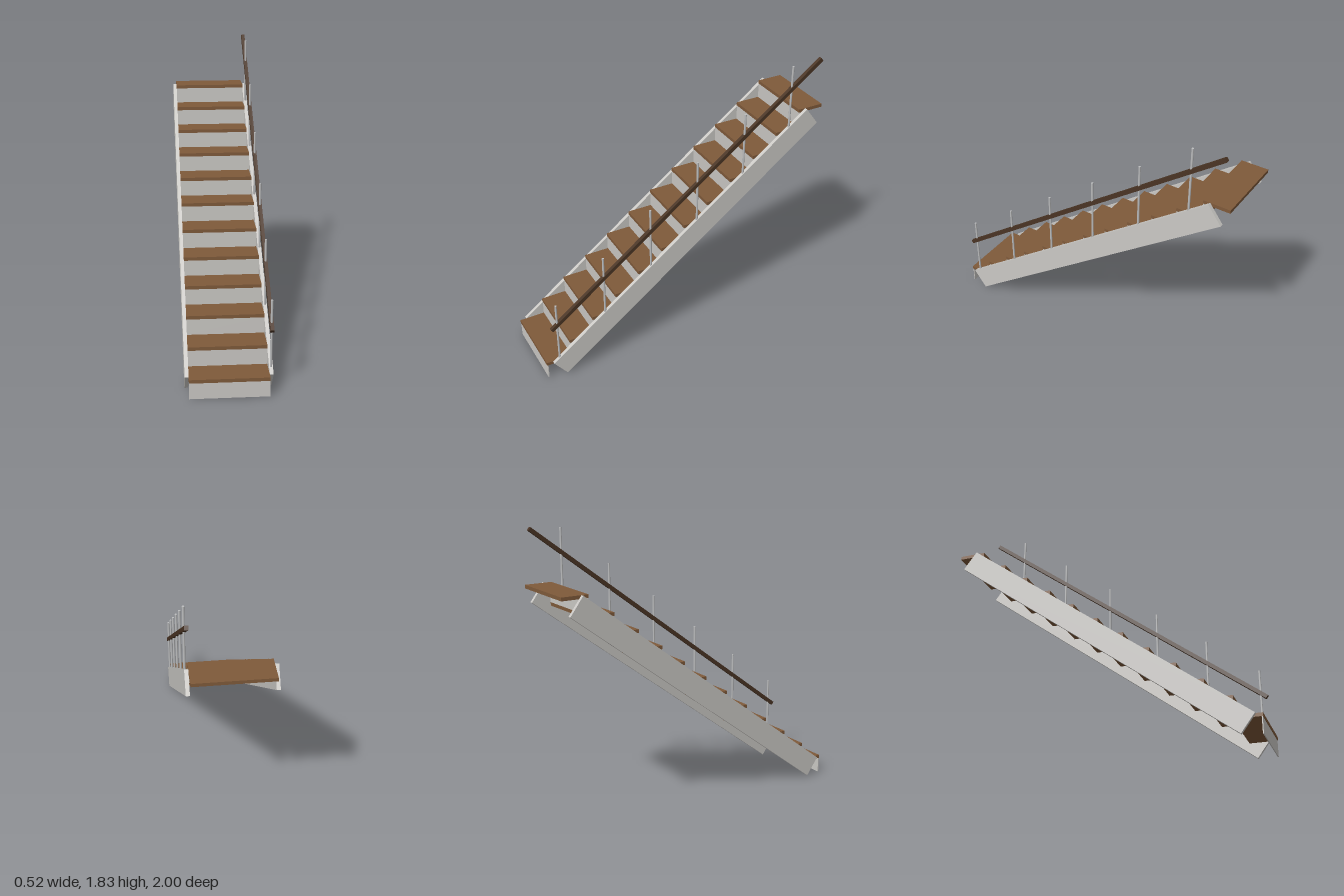
import * as THREE from 'three';

export function createModel() {
  const mat = (name, color) => {
    const m = new THREE.MeshStandardMaterial({ color });
    m.name = name;
    return m;
  };
  const wood = mat('tread wood', 0x7f5a3a);
  const darkWood = mat('dark rail wood', 0x4a3424);
  const paint = mat('pale paint', 0xcbc9c5);
  const metal = mat('post metal', 0xbcbdbe);

  const model = new THREE.Group();
  model.name = 'staircase';
  const add = (name, geometry, material, x, y, z, tilt = 0) => {
    const mesh = new THREE.Mesh(geometry, material);
    mesh.name = name;
    mesh.position.set(x, y, z);
    mesh.rotation.x = tilt;
    model.add(mesh);
  };

  const steps = 12, rise = 0.1245, run = 0.166;
  const depth = 0.174, thick = 0.022, width = 0.474;
  const sideX = 0.2485, sideWidth = 0.023;
  const slope = Math.atan2(rise, run);

  // Treads with a thin riser under each front edge
  const treadGeo = new THREE.BoxGeometry(width, thick, depth);
  const riserGeo = new THREE.BoxGeometry(width, rise - thick, 0.006);
  for (let i = 0; i < steps; i++) {
    const front = 1 - i * run, top = (i + 1) * rise;
    add('tread', treadGeo, wood, 0, top - thick / 2, front - depth / 2);
    add('riser', riserGeo, paint, 0, top - thick - (rise - thick) / 2, front - 0.006);
  }

  // Sloping side boards
  const stringerGeo = new THREE.BoxGeometry(sideWidth, 0.145, 2.288);
  for (const side of [-1, 1]) {
    add(side > 0 ? 'leftStringer' : 'rightStringer', stringerGeo, paint, side * sideX, 0.75, 0, slope);
  }

  // Posts on every second step, passing through the handrail
  const postHeight = 0.45;
  const postGeo = new THREE.CylinderGeometry(0.007, 0.007, postHeight, 12);
  for (let i = 0; i < steps; i += 2) {
    add('railPost', postGeo, metal, sideX, (i + 1) * rise + postHeight / 2, 0.915 - i * run);
  }

  // Handrail
  add('handrail', new THREE.BoxGeometry(sideWidth, 0.025, 2.385), darkWood, sideX, 1.109, 0, slope);

  return model;
}
